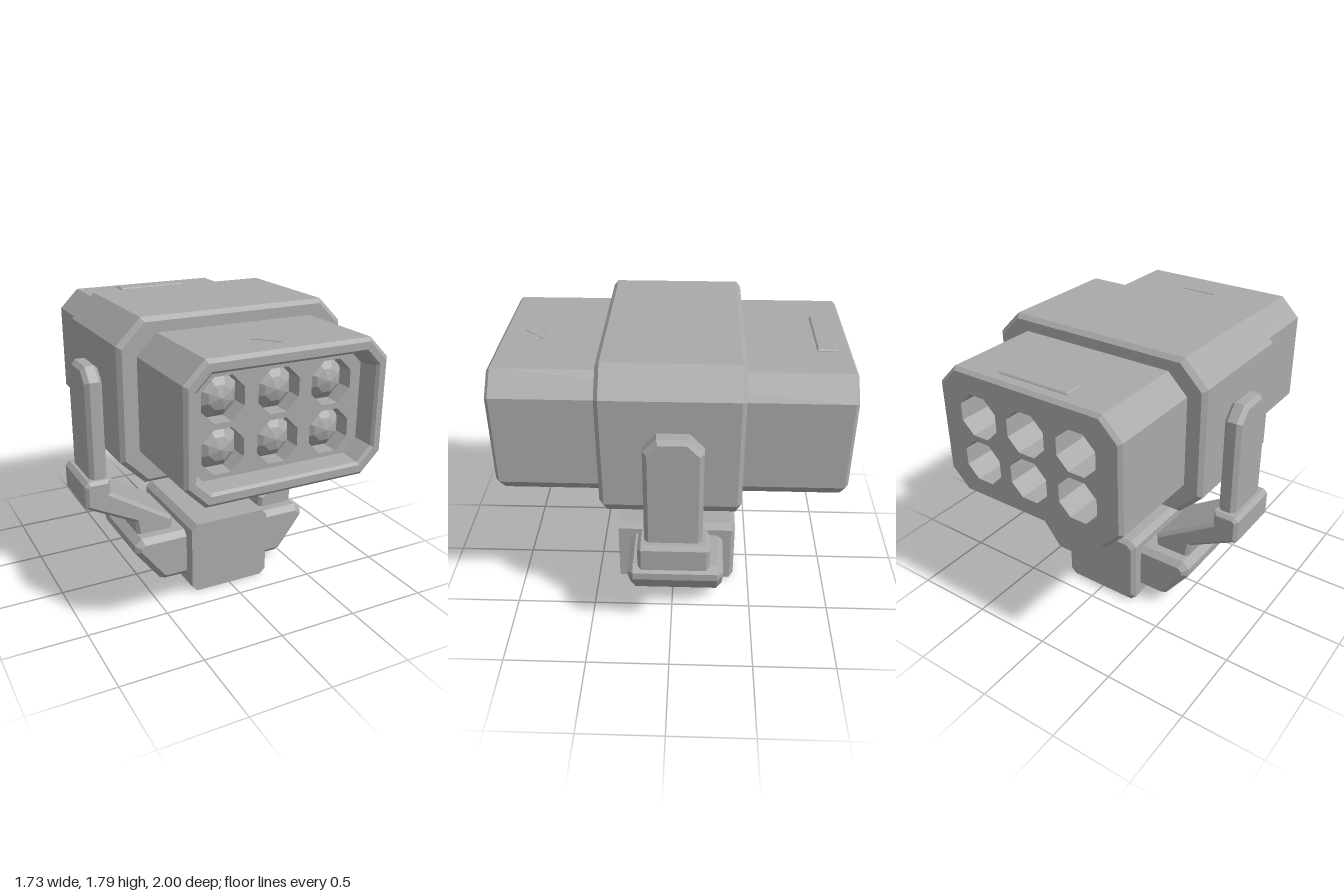
import * as THREE from 'three';

const CY = 1.3125; // height of the launcher axis
const CZ = -0.0225; // depth centre of the mount

function flat(g) {
  const n = g.index ? g.toNonIndexed() : g;
  n.computeVertexNormals();
  return n;
}

// rectangle with cut corners, counter-clockwise
function cutRect(w, h, c) {
  return [[w, c - h], [w, h - c], [w - c, h], [c - w, h], [-w, h - c], [-w, c - h], [c - w, -h], [w - c, -h]];
}

// skin over cut-corner rings [z, halfWidth, halfHeight, cornerCut]
function loft(rings, capFirst, capLast) {
  const pos = [];
  const loops = rings.map(([z, w, h, c]) => cutRect(w, h, c).map(([x, y]) => [x, y, z]));
  const tri = (a, b, c) => pos.push(...a, ...b, ...c);
  for (let i = 0; i + 1 < loops.length; i++) {
    const p = loops[i], q = loops[i + 1];
    for (let j = 0; j < 8; j++) {
      const k = (j + 1) % 8;
      tri(p[j], q[j], p[k]);
      tri(p[k], q[j], q[k]);
    }
  }
  const first = loops[0], last = loops[loops.length - 1];
  for (let j = 1; j < 7; j++) {
    if (capFirst) tri(first[0], first[j], first[j + 1]);
    if (capLast) tri(last[0], last[j + 1], last[j]);
  }
  const g = new THREE.BufferGeometry();
  g.setAttribute('position', new THREE.Float32BufferAttribute(pos, 3));
  g.computeVertexNormals();
  return g;
}

const shapeOf = (pts) => new THREE.Shape(pts.map(([x, y]) => new THREE.Vector2(x, y)));

// bevelled slab whose outline stays within the given points
function slab(pts, z0, z1, bevel) {
  const g = new THREE.ExtrudeGeometry(shapeOf(pts), {
    depth: z1 - z0 - 2 * bevel, bevelEnabled: bevel > 0, bevelThickness: bevel,
    bevelSize: bevel, bevelOffset: -bevel, bevelSegments: 1,
  });
  g.translate(0, 0, z0 + bevel);
  return flat(g);
}

export function createModel() {
  const model = new THREE.Group();
  model.name = 'rocketPod';
  const grey = new THREE.MeshStandardMaterial({ color: 0xa9a9a9 });
  grey.name = 'grey';
  const add = (name, geometry, parent = model) => {
    const m = new THREE.Mesh(geometry, grey);
    m.name = name;
    parent.add(m);
    return m;
  };

  // launcher pod: sleeve with a recessed mouth, and the thicker casing around it
  const pod = new THREE.Group();
  pod.name = 'pod';
  pod.position.y = CY;
  model.add(pod);
  add('sleeve', loft([
    [0.87, 0.52, 0.3, 0.08], [0.985, 0.535, 0.315, 0.085], [1, 0.55, 0.33, 0.09],
    [1, 0.585, 0.372, 0.11], [0.98, 0.605, 0.3925, 0.12],
    [-0.98, 0.605, 0.3925, 0.12], [-1, 0.585, 0.3725, 0.11],
  ], false, false), pod);
  add('casing', loft([
    [0.4, 0.69, 0.455, 0.135], [0.375, 0.715, 0.48, 0.145],
    [-0.375, 0.715, 0.48, 0.145], [-0.4, 0.69, 0.455, 0.135],
  ], true, true), pod);

  // perforated end plates and the rockets inside their octagonal tubes
  const centres = [];
  for (const x of [-0.328, 0.003, 0.331]) for (const y of [-0.15, 0.133]) centres.push([x, y]);
  const R = 0.135;
  const plate = (w, h, c, z0, z1) => {
    const s = shapeOf(cutRect(w, h, c));
    for (const [x, y] of centres) {
      const pts = [];
      for (let i = 0; i < 8; i++) {
        const a = -(i + 0.5) * Math.PI / 4;
        pts.push(new THREE.Vector2(x + R * Math.cos(a), y + R * Math.sin(a)));
      }
      s.holes.push(new THREE.Path(pts));
    }
    const g = new THREE.ExtrudeGeometry(s, { depth: z1 - z0, bevelEnabled: false });
    g.translate(0, 0, z0);
    return g;
  };
  add('frontPlate', plate(0.52, 0.3, 0.08, 0.6, 0.87), pod);
  add('backPlate', plate(0.585, 0.3725, 0.11, -1, -0.6), pod);
  const profile = [[0, -0.6], [R, -0.6], [R, 0.76], [0.112, 0.8], [0.07, 0.835], [0, 0.855]]
    .map(([r, z]) => new THREE.Vector2(r, z));
  const rocket = flat(new THREE.LatheGeometry(profile, 8, Math.PI / 8).rotateX(Math.PI / 2));
  for (const [x, y] of centres) add('rocket', rocket, pod).position.set(x, y, 0);

  // details on the roof
  const arrow = slab([[-0.105, -0.75], [0.008, -0.87], [0.12, -0.75]], 0, 0.004, 0);
  add('roofArrow', arrow.rotateX(-Math.PI / 2)).position.y = 1.704;
  const panel = slab([[-0.228, 0.805], [0.228, 0.805], [0.228, 0.92], [-0.228, 0.92]], -0.01, 0.012, 0.008);
  add('roofPanel', panel.rotateX(-Math.PI / 2)).position.y = 1.704;

  // yoke and base wing on each side
  const armPts = [[-0.145, 0.76], [0.185, 0.76], [0.185, 1.385], [0.105, 1.47], [-0.07, 1.47], [-0.145, 1.39]];
  const elbowPts = [[0.865, 0.63], [0.865, 0.77], [0.84, 0.795], [0.707, 0.795], [0.707, 0.707],
    [0.315, 0.46], [0.315, 0.36], [0.545, 0.36], [0.56, 0.475]];
  const wingPts = [[0.595, 0.3], [0.595, 0.35], [0.55, 0.39], [0.2, 0.39], [0.2, 0.078], [0.4, 0.078], [0.436, 0.092]];
  for (const s of [1, -1]) {
    const side = new THREE.Group();
    side.name = s > 0 ? 'leftYoke' : 'rightYoke';
    model.add(side);
    const mirror = (pts) => pts.map(([x, y]) => [s * x, y]);
    const arm = s > 0 ? slab(armPts, 0.712, 0.82, 0.025) : slab(armPts, -0.82, -0.712, 0.025);
    add('arm', arm.rotateY(Math.PI / 2), side);
    add('elbow', slab(mirror(elbowPts), CZ - 0.205, CZ + 0.205, 0.02), side);
    add('baseWing', slab(mirror(wingPts), CZ - 0.2975, CZ + 0.2975, 0.035), side);
  }

  // central base block, sharp in front and bevelled behind
  add('baseBlock', loft([
    [0.355, 0.2625, 0.2325, 0.035], [-0.375, 0.2625, 0.2325, 0.035], [-0.4, 0.2375, 0.2075, 0.03],
  ], true, true)).position.y = 0.2325;

  return model;
}
